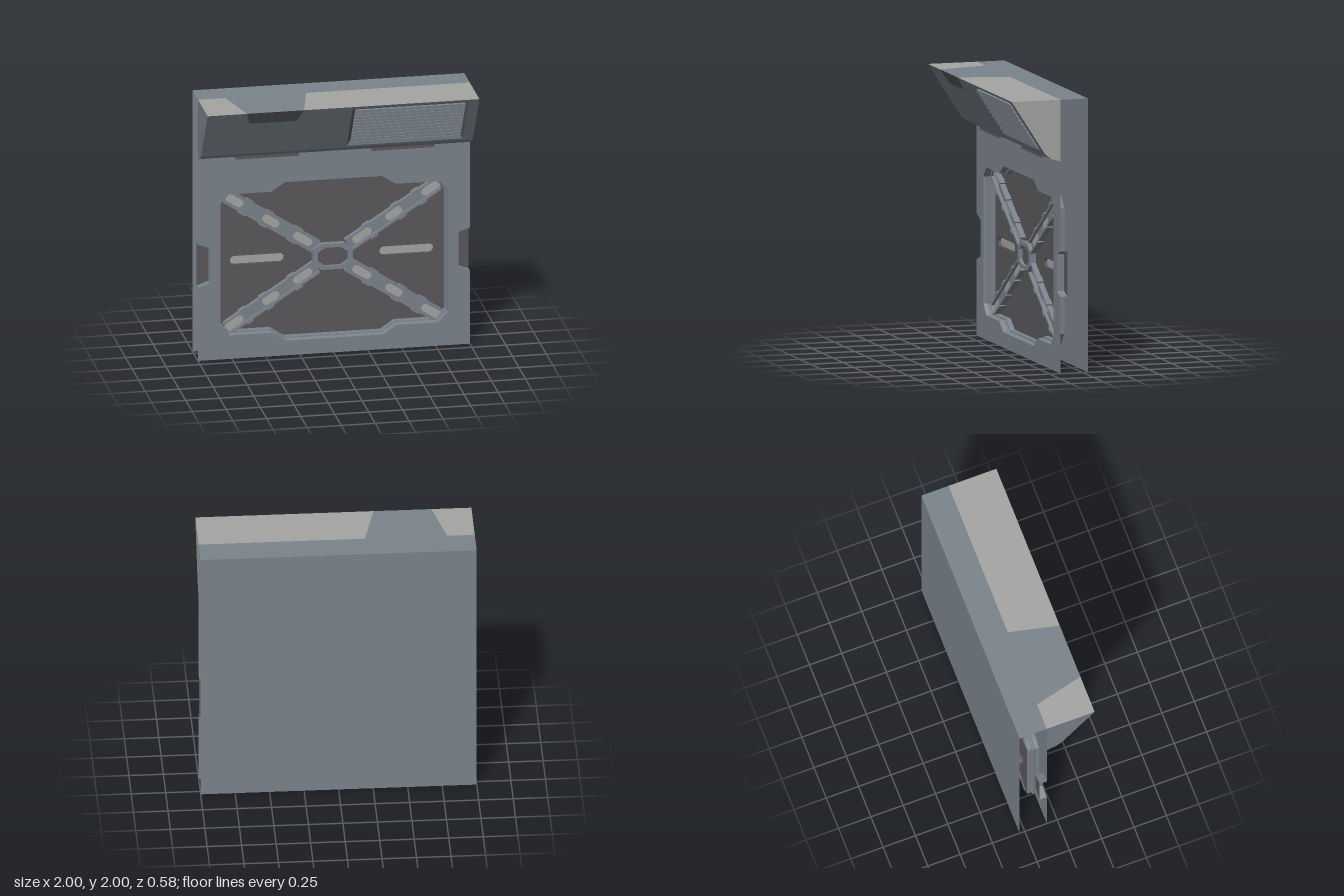
import * as THREE from 'three';

const mat = (name, color) => new THREE.MeshStandardMaterial({ name, color, side: THREE.DoubleSide });

export function createModel() {
  const slate = mat('slate', 0x7a828b);
  const light = mat('light grey', 0xa4a4a2);
  const dark = mat('dark grey', 0x59575b);
  const root = new THREE.Group();
  const FRONT = -0.08, BACK = -0.29, FLOOR = -0.165, CY = 0.72;

  const add = (name, geo, material, parent = root) => {
    const m = new THREE.Mesh(geo, material);
    m.name = name;
    parent.add(m);
    return m;
  };
  const box = (name, w, h, d, x, y, z, material, parent) => {
    const m = add(name, new THREE.BoxGeometry(w, h, d), material, parent);
    m.position.set(x, y, z);
    return m;
  };
  const poly = (pts) => new THREE.Shape(pts.map(([x, y]) => new THREE.Vector2(x, y)));
  const face = (pts, holes = []) => {
    const s = poly(pts);
    s.holes = holes.map(poly);
    return new THREE.ShapeGeometry(s);
  };
  const rect = (x0, y0, x1, y1) => [[x0, y0], [x1, y0], [x1, y1], [x0, y1]];

  // flat-shaded walls joining successive loops of { pts, z }
  const walls = (loops, closed = true) => {
    const pos = [];
    for (let k = 0; k + 1 < loops.length; k++) {
      const a = loops[k], b = loops[k + 1], n = a.pts.length;
      for (let i = 0; i < (closed ? n : n - 1); i++) {
        const j = (i + 1) % n;
        const A = [...a.pts[i], a.z], B = [...a.pts[j], a.z];
        const C = [...b.pts[j], b.z], D = [...b.pts[i], b.z];
        pos.push(...A, ...B, ...C, ...A, ...C, ...D);
      }
    }
    const g = new THREE.BufferGeometry();
    g.setAttribute('position', new THREE.Float32BufferAttribute(pos, 3));
    g.computeVertexNormals();
    return g;
  };

  // recess outline, shrunk inward by o
  const outline = (o) => {
    const q = [[0.84 - o, 0.465 - o * 0.4], [0.77 - o * 0.4, 0.54 - o], [0.46 - o * 0.3, 0.54 - o], [0.36 - o * 0.3, 0.607 - o]];
    const up = [...q, ...q.map(([x, y]) => [-x, y]).reverse()];
    return [...up, ...up.map(([x, y]) => [x, -y]).reverse()].map(([x, y]) => [x, y + CY]);
  };
  // pill-shaped slot
  const pill = (cx, cy, len, r) => {
    const pts = [];
    for (let i = 0; i < 16; i++) {
      const side = i < 8 ? 1 : -1;
      const a = -Math.PI / 2 + (i % 8) * Math.PI / 7 + (side < 0 ? Math.PI : 0);
      pts.push([cx + side * (len / 2 - r) + r * Math.cos(a), cy + r * Math.sin(a)]);
    }
    return pts;
  };

  // back sheet and front sheet with the side notches and main opening
  add('backPanel', face(rect(-1, 0, 1, 2)), slate).position.z = BACK;
  const notch = [[1, 0.56], [0.915, 0.59], [0.915, 0.86], [1, 0.89]];
  const flip = (pts) => pts.map(([x, y]) => [-x, y]);
  const panel = [[-1, 0], [1, 0], ...notch, [1, 2], [-1, 2], ...flip(notch).reverse()];
  add('frontPanel', face(panel, [outline(0)]), slate).position.z = FRONT;
  for (const pts of [notch, flip(notch)]) {
    add('notchWalls', walls([{ pts, z: FRONT }, { pts, z: -0.135 }], false), slate);
    add('notchFloor', face(pts), dark).position.z = -0.135;
  }

  // stepped recess walls and floor
  const steps = [[0, FRONT], [0.006, -0.11], [0.002, -0.115], [0.002, -0.128], [0.014, -0.13], [0.016, FLOOR]];
  add('recessWalls', walls(steps.map(([o, z]) => ({ pts: outline(o), z }))), slate);
  const slots = [-1, 1].map((s) => pill(s * 0.55, 0.723, 0.4, 0.033));
  add('recessFloor', face(outline(0.016), slots), dark).position.z = FLOOR;
  for (const pts of slots) {
    add('slotWalls', walls([{ pts, z: FLOOR }, { pts, z: -0.187 }]), dark);
    add('slotFloor', face(pts), light).position.z = -0.186;
  }

  // diagonal braces with channel rails, clips and inlaid plates
  const tilt = Math.atan(0.65);
  for (const a of [tilt, Math.PI - tilt, Math.PI + tilt, -tilt]) {
    const arm = new THREE.Group();
    arm.name = 'brace';
    arm.position.set(0, CY, FLOOR);
    arm.rotation.z = a;
    root.add(arm);
    box('braceBase', 0.79, 0.09, 0.02, 0.535, 0, 0.01, slate, arm);
    for (const s of [-1, 1]) {
      box('braceRail', 0.78, 0.016, 0.04, 0.53, s * 0.044, 0.02, slate, arm);
      for (const r of [0.33, 0.58, 0.76]) box('braceClip', 0.06, 0.016, 0.045, r, s * 0.054, 0.0225, slate, arm);
    }
    for (const [r, len] of [[0.26, 0.16], [0.54, 0.14], [0.865, 0.16]]) {
      add('bracePlate', face(pill(r, 0, len, 0.03)), light, arm).position.z = 0.024;
    }
  }

  // central ring
  const octagon = (w, h, cx, cy) => [[w, cy], [cx, h], [-cx, h], [-w, cy], [-w, -cy], [-cx, -h], [cx, -h], [w, -cy]]
    .map(([x, y]) => [x, y + CY]);
  const ring = poly(octagon(0.148, 0.098, 0.085, 0.055));
  ring.holes = [poly(octagon(0.11, 0.07, 0.055, 0.035))];
  add('centreRing', new THREE.ExtrudeGeometry(ring, { depth: 0.045, bevelEnabled: false }), slate).position.z = FLOOR;
  add('centreFloor', face(octagon(0.112, 0.072, 0.057, 0.036)), dark).position.z = FLOOR + 0.022;

  // top cover with its painted areas, drawn in x and -z
  const topFace = (name, pts, m) => {
    const g = face(pts.map(([x, z]) => [x, -z]));
    g.rotateX(-Math.PI / 2);
    add(name, g, m).position.y = 2;
  };
  topFace('topBand', [[-1, BACK], [1, BACK], [1, FRONT], [-0.205, FRONT], [-0.29, 0.29], [-0.71, 0.29], [-0.8, FRONT], [-1, FRONT]], slate);
  topFace('topLeftPatch', [[-0.205, FRONT], [1, FRONT], [1, 0.29], [-0.29, 0.29]], light);
  topFace('topRightPatch', [[-1, FRONT], [-0.8, FRONT], [-0.71, 0.29], [-1, 0.29]], light);

  // overhanging hood: ends and lower lip, profile in z and y
  const profile = [[FRONT, 2], [0.29, 2], [0.035, 1.605], [-0.01, 1.57], [FRONT, 1.548]];
  for (const [x, m] of [[1, light], [-1, slate]]) {
    const g = face(profile);
    g.rotateY(-Math.PI / 2);
    add('hoodEnd', g, m).position.x = x;
  }
  for (const [k, m] of [[2, slate], [3, dark]]) {
    const [z0, y0] = profile[k], [z1, y1] = profile[k + 1];
    add('hoodLip', walls([{ pts: [[-1, y0], [1, y0]], z: z0 }, { pts: [[-1, y1], [1, y1]], z: z1 }], false), m);
  }
  for (const s of [-1, 1]) box('lipTab', 0.46, 0.024, 0.045, s * 0.5, 1.557, -0.04, dark);

  // sloping hood face, built flat then tilted
  const hood = new THREE.Group();
  hood.name = 'hoodFace';
  hood.position.set(0, 1.605, 0.035);
  hood.rotation.x = Math.atan2(0.255, 0.395);
  root.add(hood);
  const L = Math.hypot(0.255, 0.395);
  const patch = [[-0.71, L], [-0.685, 0.365], [-0.665, 0.351], [-0.345, 0.351], [-0.325, 0.365], [-0.29, L]];
  const vent = rect(0.07, 0.018, 0.925, 0.446), inner = rect(0.09, 0.032, 0.905, 0.432);
  add('slope', face([[-1, 0], [1, 0], [1, L], [-0.29, L], ...patch.slice(1, 5).reverse(), [-0.71, L], [-1, L]], [vent]), slate, hood);
  add('slopePatch', face(patch), dark, hood);
  add('ventFrame', walls([{ pts: vent, z: 0 }, { pts: inner, z: -0.025 }]), dark, hood);
  add('ventBack', face(inner), dark, hood).position.z = -0.025;
  for (let i = 0; i < 11; i++) {
    const slat = box('ventSlat', 0.81, 0.022, 0.02, 0.4975, 0.05 + i * 0.0365, -0.002, slate, hood);
    slat.rotation.x = -0.45;
  }
  return root;
}
